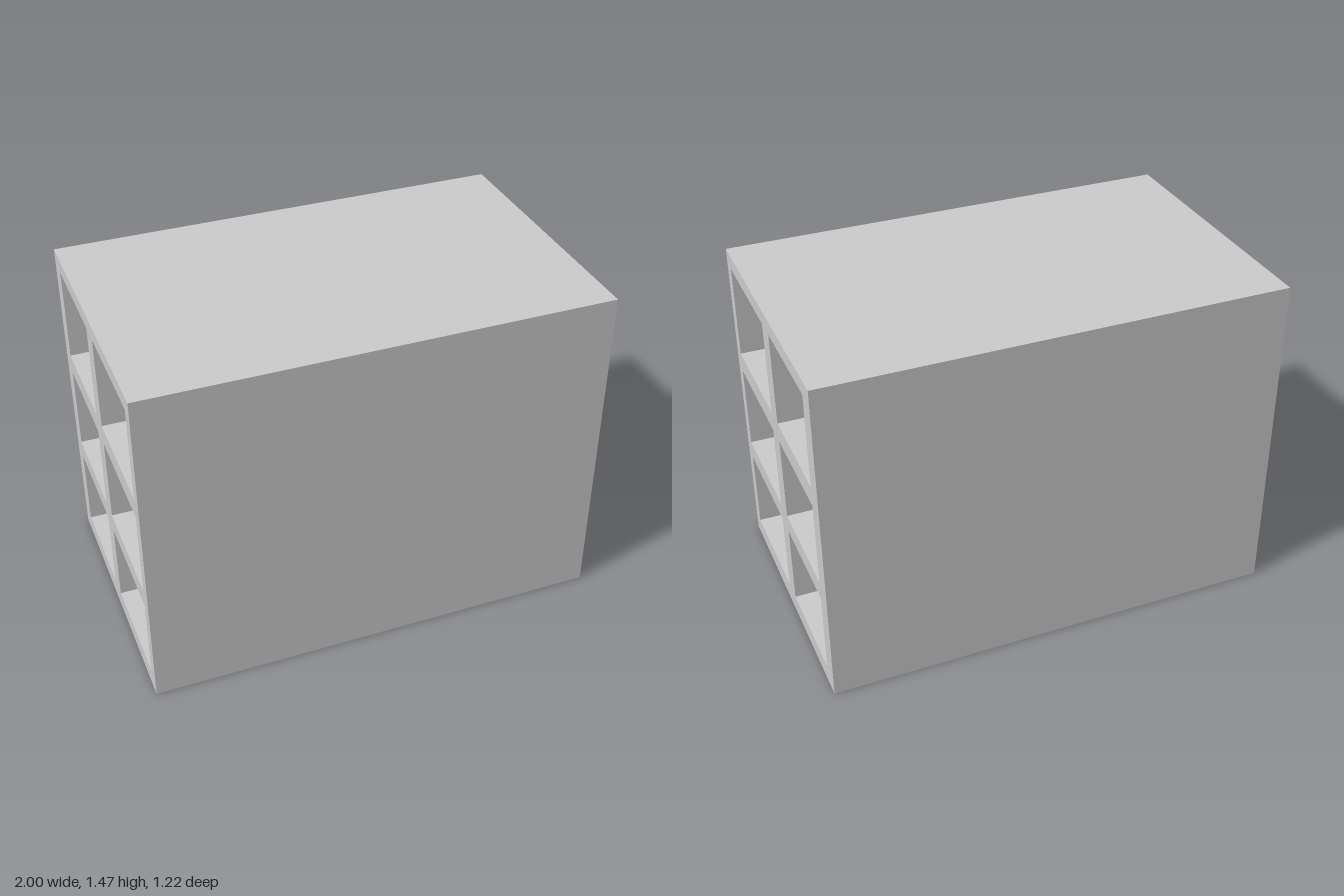
import * as THREE from 'three';

// Rectangular outline between two corners
function rect(target, x0, y0, x1, y1) {
  target.moveTo(x0, y0);
  target.lineTo(x1, y0);
  target.lineTo(x1, y1);
  target.lineTo(x0, y1);
  target.closePath();
  return target;
}

export function createModel() {
  const group = new THREE.Group();
  group.name = 'cubbyBlock';

  const length = 2, height = 1.47, halfDepth = 0.61;
  // Openings: column ranges run along -z, row ranges along y
  const columns = [[-0.55, -0.043], [0.051, 0.523]];
  const rows = [[0.08, 0.442], [0.524, 0.902], [0.991, 1.404]];

  // End profile with six openings that run the full length
  const profile = rect(new THREE.Shape(), -halfDepth, 0, halfDepth, height);
  for (const [x0, x1] of columns) {
    for (const [y0, y1] of rows) {
      profile.holes.push(rect(new THREE.Path(), x0, y0, x1, y1));
    }
  }

  const geometry = new THREE.ExtrudeGeometry(profile, { depth: length, bevelEnabled: false });
  geometry.translate(0, 0, -length / 2);
  geometry.rotateY(Math.PI / 2);

  const body = new THREE.Mesh(geometry, new THREE.MeshStandardMaterial({ color: 0xcccccc }));
  body.name = 'compartmentBody';
  group.add(body);
  return group;
}
